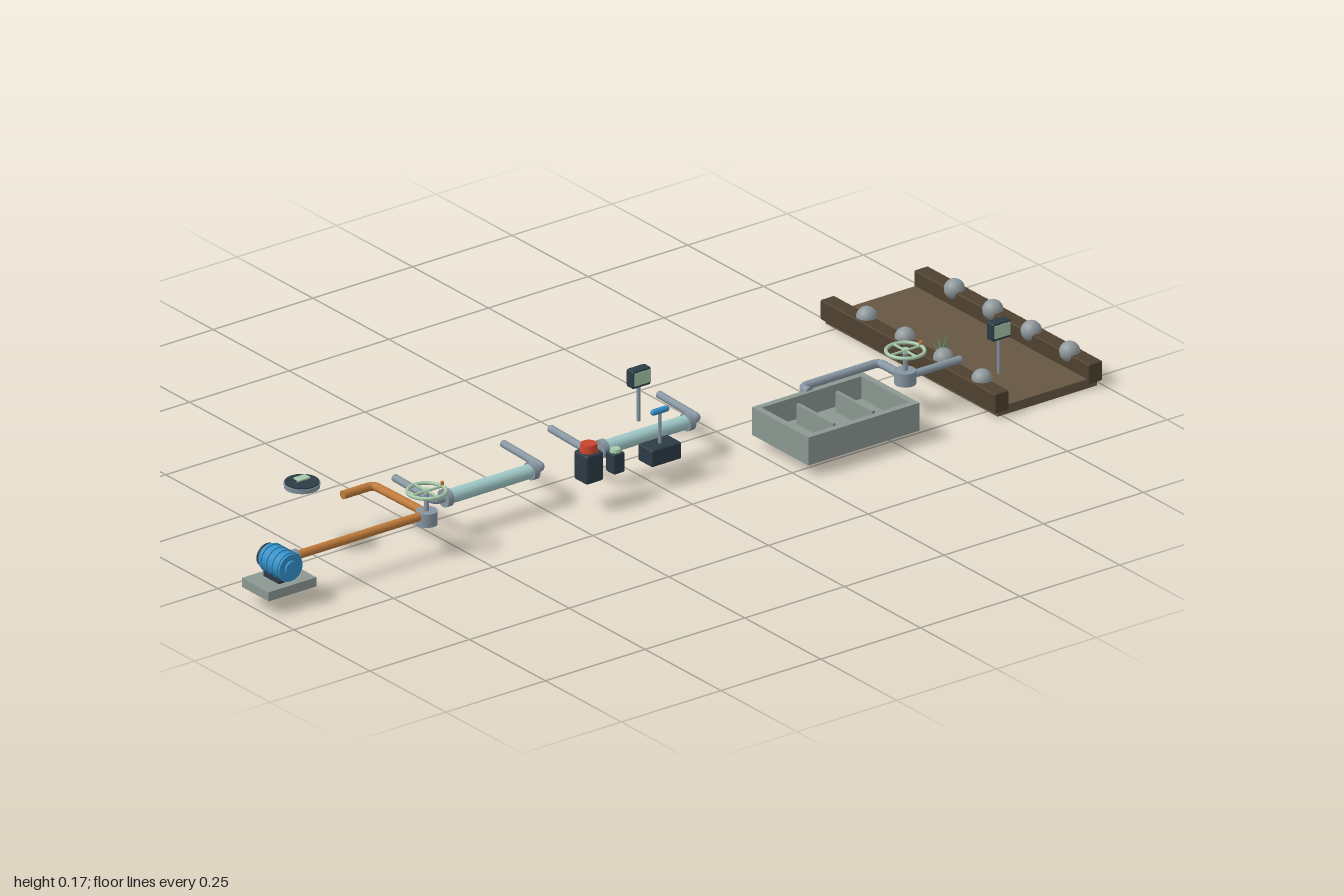
import * as THREE from 'three';
import { RoundedBoxGeometry } from 'three/addons/geometries/RoundedBoxGeometry.js';

const mat = (color) => new THREE.MeshStandardMaterial({ color });
const M = {
  concrete: mat(0x8c9892), steel: mat(0x8796a2), dark: mat(0x2c3b45), teal: mat(0x9fc9c8),
  copper: mat(0xbf7a3a), blue: mat(0x3390c8), red: mat(0xc8442f), pale: mat(0xa5c8a8),
  soil: mat(0x665743), bank: mat(0x4f4130), stone: mat(0x8f989b),
};
M.leaf = mat(0x6f9a72);
M.leaf.side = THREE.DoubleSide;

function add(parent, name, geo, material, x = 0, y = 0, z = 0) {
  const m = new THREE.Mesh(geo, material);
  m.name = name;
  m.position.set(x, y, z);
  parent.add(m);
  return m;
}
function group(parent, name, x = 0, y = 0, z = 0) {
  const g = new THREE.Group();
  g.name = name;
  g.position.set(x, y, z);
  parent.add(g);
  return g;
}
const box = (w, h, d) => new THREE.BoxGeometry(w, h, d);
const rbox = (w, h, d, r = 0.004) => new RoundedBoxGeometry(w, h, d, 2, r);
const cyl = (r, h, n = 20, r2 = r) => new THREE.CylinderGeometry(r2, r, h, n);
const cylX = (r, h, n = 20) => cyl(r, h, n).rotateZ(Math.PI / 2);
const cylZ = (r, h, n = 20) => cyl(r, h, n).rotateX(Math.PI / 2);

// Pipe through points, with rounded elbows and closed ends
function pipe(parent, name, pts, r, material) {
  const p = pts.map((a) => new THREE.Vector3(...a));
  const path = new THREE.CurvePath();
  let from = p[0];
  for (let i = 1; i < p.length - 1; i++) {
    const a = p[i].clone().add(p[i - 1].clone().sub(p[i]).setLength(r * 1.8));
    const b = p[i].clone().add(p[i + 1].clone().sub(p[i]).setLength(r * 1.8));
    path.add(new THREE.LineCurve3(from, a));
    path.add(new THREE.QuadraticBezierCurve3(a, p[i], b));
    from = b;
  }
  const last = p[p.length - 1];
  path.add(new THREE.LineCurve3(from, last));
  add(parent, name, new THREE.TubeGeometry(path, 80, r, 12), material);
  for (const [end, next] of [[p[0], p[1]], [last, p[p.length - 2]]]) {
    const cap = add(parent, name + 'End', new THREE.CircleGeometry(r, 12), material, end.x, end.y, end.z);
    cap.lookAt(end.clone().multiplyScalar(2).sub(next));
  }
}

// Valve with spoked handwheel and crank knob
function valve(parent, x, z) {
  const g = group(parent, 'valve', x, 0, z);
  add(g, 'valveBody', cyl(0.022, 0.029), M.steel, 0, 0.083, 0);
  add(g, 'valveStem', cyl(0.005, 0.05, 12), M.steel, 0, 0.118, 0);
  add(g, 'handwheelRim', new THREE.TorusGeometry(0.039, 0.004, 8, 32).rotateX(Math.PI / 2), M.pale, 0, 0.14, 0);
  add(g, 'handwheelSpokeAcross', cylX(0.0028, 0.078, 8), M.pale, 0, 0.14, 0);
  add(g, 'handwheelSpokeAlong', cylZ(0.0028, 0.078, 8), M.pale, 0, 0.14, 0);
  add(g, 'handwheelHub', cyl(0.008, 0.009, 12), M.pale, 0, 0.14, 0);
  add(g, 'handwheelKnob', cyl(0.004, 0.012, 10), M.copper, 0.039, 0.144, 0);
}

// Filter cartridge with a return arm at each end
function filter(parent, x) {
  const g = group(parent, 'filter', x, 0, 0);
  add(g, 'filterTube', cylX(0.015, 0.215, 24), M.teal, 0, 0.083, 0.072);
  for (const s of [-1, 1]) {
    add(g, 'filterFlange', cylX(0.019, 0.014, 24), M.steel, s * 0.108, 0.083, 0.072);
    pipe(g, 'filterArm', [[s * 0.1, 0.083, 0.072], [s * 0.136, 0.083, 0.072], [s * 0.136, 0.087, -0.06]], 0.008, M.steel);
  }
}

// Meter on a pole
function meter(parent, x, y, z) {
  const g = group(parent, 'meter', x, y, z);
  add(g, 'meterCase', rbox(0.046, 0.039, 0.023), M.dark);
  add(g, 'meterScreen', box(0.038, 0.028, 0.003), M.pale, 0, 0.001, 0.0115);
  add(g, 'meterPole', cyl(0.004, 0.08, 10), M.steel, 0, -0.057, 0);
}

// Lidded canister
function canister(parent, name, x, z, r, h, capH, capMat) {
  const g = group(parent, name, x, 0.064, z);
  add(g, name + 'Body', rbox(r * 2, h, r * 2, r * 0.25), M.dark, 0, h / 2, 0);
  add(g, name + 'Cap', cyl(r * 0.85, capH, 20, r * 0.75), capMat, 0, h + capH / 2, 0);
}

export function createModel() {
  const root = new THREE.Group();
  root.name = 'waterTreatmentLine';

  // Pump on its plinth
  const pump = group(root, 'pump', -0.94, 0, 0.123);
  add(pump, 'pumpPlinth', box(0.12, 0.02, 0.088), M.concrete, 0, 0.042, 0);
  add(pump, 'pumpFoot', box(0.04, 0.016, 0.05), M.dark, 0, 0.058, 0);
  add(pump, 'pumpMotor', cylZ(0.029, 0.07, 24), M.blue, 0, 0.087, 0.004);
  add(pump, 'pumpBackCover', cylZ(0.026, 0.012, 24), M.dark, 0, 0.087, -0.035);
  for (const z of [-0.022, -0.004, 0.014, 0.032]) {
    add(pump, 'pumpRib', cylZ(0.0315, 0.004, 24), M.blue, 0, 0.087, z);
  }
  add(pump, 'pumpFrontCap', cylZ(0.016, 0.006, 16), M.blue, 0, 0.087, 0.041);
  add(pump, 'pumpOutlet', cylX(0.014, 0.02, 16), M.steel, 0.034, 0.089, 0);

  // Copper line and first valve
  pipe(root, 'copperInlet', [[-0.915, 0.089, 0.123], [-0.57, 0.089, 0.123]], 0.009, M.copper);
  pipe(root, 'copperBranch', [[-0.567, 0.089, 0.123], [-0.567, 0.087, -0.056], [-0.645, 0.087, -0.056]], 0.009, M.copper);
  valve(root, -0.57, 0.123);

  // Floating hatch with handle
  const hatch = group(root, 'hatch', -0.764, 0, -0.033);
  add(hatch, 'hatchRing', cyl(0.036, 0.01, 28, 0.037), M.steel, 0, 0.151, 0);
  add(hatch, 'hatchLid', cyl(0.035, 0.003, 28), M.dark, 0, 0.1573, 0);
  add(hatch, 'hatchHandle', rbox(0.03, 0.004, 0.02, 0.0018), M.pale, 0, 0.1655, 0);
  for (const s of [-1, 1]) add(hatch, 'hatchHandlePost', cyl(0.002, 0.008, 8), M.steel, s * 0.011, 0.161, 0);

  // Filters
  filter(root, -0.375);
  filter(root, 0.016);

  // Canisters
  canister(root, 'largeCanister', -0.178, 0.142, 0.022, 0.063, 0.017, M.red);
  canister(root, 'smallCanister', -0.112, 0.143, 0.014, 0.044, 0.007, M.pale);

  // Control box with T lever
  const control = group(root, 'control', 0.014, 0, 0.124);
  add(control, 'controlBox', rbox(0.075, 0.037, 0.047), M.dark, 0, 0.067, 0);
  add(control, 'controlStem', cyl(0.004, 0.075, 10), M.steel, 0, 0.119, 0);
  add(control, 'controlGrip', new THREE.CapsuleGeometry(0.0065, 0.032, 4, 12).rotateZ(Math.PI / 2), M.blue, 0, 0.156, 0);

  // Meters
  meter(root, 0.104, 0.138, -0.064);
  meter(root, 0.833, 0.124, 0.165);

  // Settling basin: open tank with baffles
  const basin = group(root, 'basin', 0.404, 0, 0.191);
  const W = 0.278, D = 0.186, T = 0.014;
  add(basin, 'basinFloor', box(W, 0.012, D), M.concrete, 0, 0.03, 0);
  for (const s of [-1, 1]) {
    add(basin, 'basinLongWall', box(W, 0.05, T), M.concrete, 0, 0.06, s * (D - T) / 2);
    add(basin, 'basinEndWall', box(T, 0.05, D - 2 * T), M.concrete, s * (W - T) / 2, 0.06, 0);
    add(basin, 'basinBaffle', box(0.007, 0.044, 0.12), M.concrete, s * 0.049, 0.058, 0);
  }

  // Outlet pipe, second valve and spout
  pipe(root, 'basinOutlet', [[0.404, 0.083, 0.105], [0.404, 0.083, 0.077], [0.6, 0.083, 0.077], [0.6, 0.083, 0.163]], 0.009, M.steel);
  valve(root, 0.6, 0.163);
  pipe(root, 'spout', [[0.6, 0.083, 0.163], [0.738, 0.083, 0.163]], 0.008, M.steel);

  // Channel with banks and stones
  const channel = group(root, 'channel', 0.865, 0, 0);
  add(channel, 'channelBed', box(0.25, 0.02, 0.566), M.soil, 0, 0.01, 0);
  for (const s of [-1, 1]) {
    add(channel, 'channelBank', rbox(0.035, 0.043, 0.576, 0.003), M.bank, s * 0.1175, 0.0315, 0);
    for (let i = 0; i < 4; i++) {
      add(channel, 'bankStone', new THREE.SphereGeometry(0.0215, 16, 12), M.stone, s * 0.11, 0.053, 0.212 - i * 0.1265);
    }
  }

  // Reed tuft: tapered leaning blades
  const reeds = group(root, 'reeds', 0.765, 0.05, 0.066);
  for (let i = 0; i < 7; i++) {
    const blade = add(reeds, 'reedBlade', new THREE.ConeGeometry(0.0035, 0.044, 5).translate(0, 0.021, 0), M.leaf);
    blade.rotation.set(0, i * 2.4, 0.15 + 0.08 * i);
  }
  return root;
}
